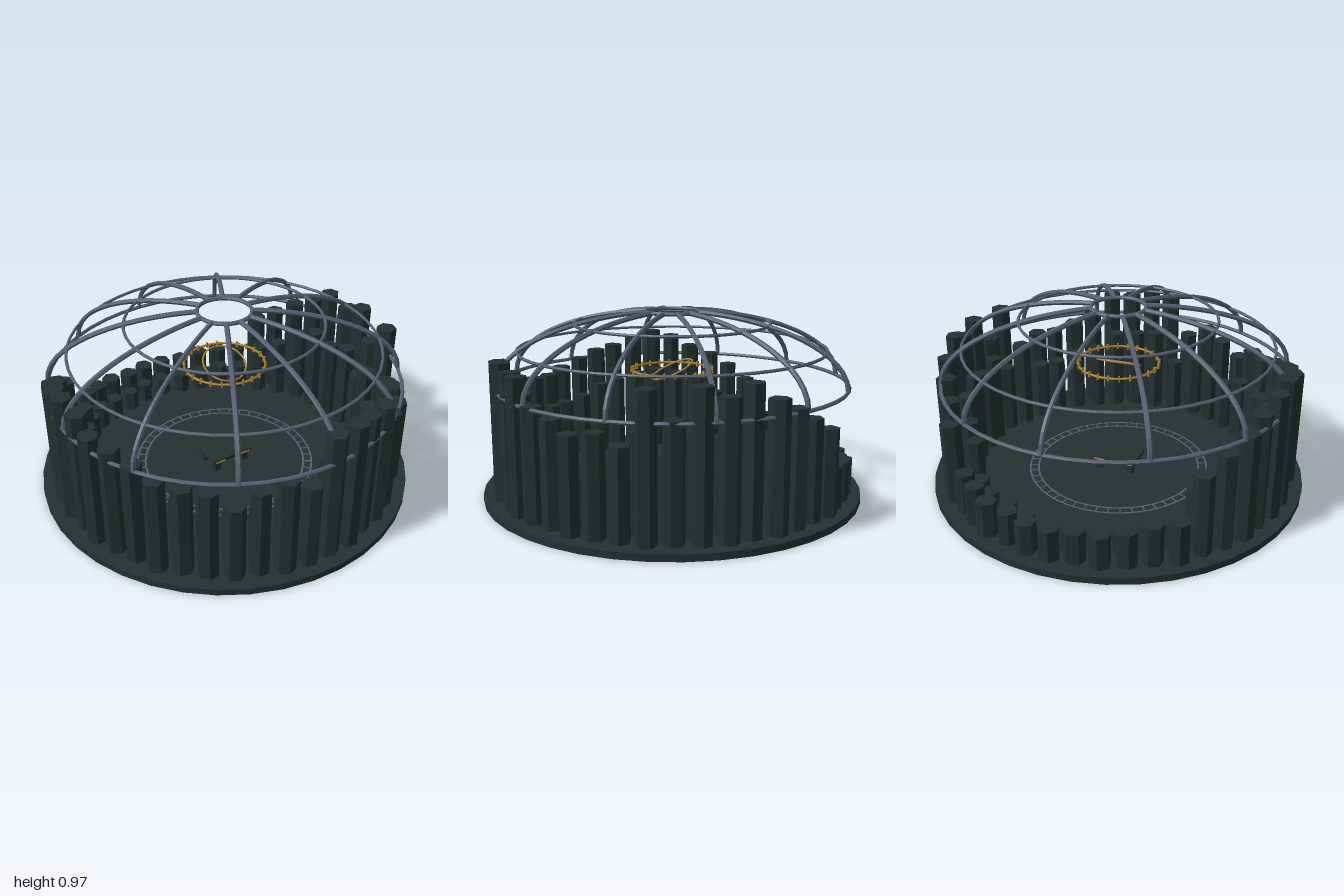
import * as THREE from 'three';

const mat = (name, color, extra = {}) => {
  const m = new THREE.MeshStandardMaterial({ color, ...extra });
  m.name = name;
  return m;
};

export function createModel() {
  const root = new THREE.Group();
  const basalt = mat('dark basalt', 0x243030, { flatShading: true });
  const steel = mat('blue grey steel', 0x566072, { flatShading: true });
  const brass = mat('brass', 0xb08232, { flatShading: true });

  const add = (name, geo, material, parent = root) => {
    const m = new THREE.Mesh(geo, material);
    m.name = name;
    parent.add(m);
    return m;
  };
  const group = (name) => {
    const g = new THREE.Group();
    g.name = name;
    root.add(g);
    return g;
  };
  const flatRing = (name, r, tube, y, material, parent, segs = 48) => {
    const m = add(name, new THREE.TorusGeometry(r, tube, 6, segs), material, parent);
    m.rotation.x = Math.PI / 2;
    m.position.y = y;
    return m;
  };

  // Round floor slab
  const FLOOR = 0.035;
  add('floorSlab', new THREE.CylinderGeometry(1, 1, FLOOR, 40), basalt).position.y = FLOOR / 2;

  // Hexagonal stone columns: tall wall with a low opening at the back
  const heights = [
    0.735, 0.745, 0.72, 0.72, 0.6, 0.56, 0.51, 0.53, 0.48, 0.74, 0.6, 0.75,
    0.7, 0.75, 0.67, 0.61, 0.54, 0.47, 0.25, 0.24, 0.22, 0.205, 0.2,
    0.2, 0.2, 0.205, 0.22, 0.24, 0.25, 0.46, 0.54, 0.6, 0.65, 0.71,
    0.74, 0.71, 0.66, 0.64, 0.6, 0.56, 0.53, 0.53, 0.455, 0.52, 0.565, 0.5,
  ];
  const N = heights.length;
  const wall = group('columnWall');
  const column = (name, angle, r, radius, top) => {
    const h = top - FLOOR;
    const m = add(name, new THREE.CylinderGeometry(radius, radius, h, 6), basalt, wall);
    m.position.set(Math.sin(angle) * r, FLOOR + h / 2, Math.cos(angle) * r);
    m.rotation.y = angle * 3.1;
  };
  heights.forEach((h, i) => {
    const a = (i / N) * Math.PI * 2 + 0.008;
    column('outerColumn', a, 0.892 + 0.012 * Math.sin(i * 2.3), 0.053, h);
  });
  const INNER = 40;
  for (let i = 0; i < INNER; i++) {
    const f = (i + 0.5) / INNER;
    const h = heights[Math.round(f * N) % N];
    column('innerColumn', f * Math.PI * 2, 0.79 + 0.012 * Math.sin(i * 1.7), 0.048, h * 0.7);
  }

  // Dome frame: twelve curved ribs and four hoops on an elliptical profile
  const dome = group('domeFrame');
  const R = 0.92, BASE = 0.59, RISE = 0.375;
  const profileY = (r) => BASE + RISE * Math.sqrt(1 - (r / R) ** 2);
  const tEnd = Math.acos(0.14 / R);
  const ribPoints = [];
  for (let i = 0; i <= 14; i++) {
    const t = (i / 14) * tEnd;
    ribPoints.push(new THREE.Vector3(0, BASE + RISE * Math.sin(t), R * Math.cos(t)));
  }
  const ribGeo = new THREE.TubeGeometry(new THREE.CatmullRomCurve3(ribPoints), 18, 0.013, 6);
  for (let i = 0; i < 12; i++) {
    add('domeRib', ribGeo, steel, dome).rotation.y = (i / 12) * Math.PI * 2;
  }
  for (const [r, tube] of [[R, 0.01], [0.805, 0.008], [0.51, 0.008], [0.14, 0.011]]) {
    flatRing('domeHoop', r, tube, r === R ? BASE : profileY(r), steel, dome);
  }

  // Inlaid floor track with radial ties
  const track = group('floorTrack');
  for (const r of [0.44, 0.485]) {
    const inlay = add('trackRing', new THREE.RingGeometry(r - 0.005, r + 0.005, 64), steel, track);
    inlay.rotation.x = -Math.PI / 2;
    inlay.position.y = FLOOR + 0.004;
  }
  for (let i = 0; i < 48; i++) {
    const a = (i / 48) * Math.PI * 2;
    const tie = add('trackTie', new THREE.BoxGeometry(0.006, 0.005, 0.045), steel, track);
    tie.position.set(Math.sin(a) * 0.4625, FLOOR + 0.0025, Math.cos(a) * 0.4625);
    tie.rotation.y = a;
  }

  // Floating brass rings with small teeth
  const rings = group('floatingRings');
  rings.position.y = 0.655;
  flatRing('mainRing', 0.212, 0.006, 0, brass, rings);
  for (let i = 0; i < 24; i++) {
    const a = ((i + 0.5) / 24) * Math.PI * 2;
    const tooth = add('ringTooth', new THREE.BoxGeometry(0.008, 0.03, 0.014), brass, rings);
    tooth.position.set(Math.sin(a) * 0.212, 0, Math.cos(a) * 0.212);
    tooth.rotation.y = a;
  }
  flatRing('tiltedRing', 0.115, 0.005, 0, brass, rings).rotation.x += 0.42;

  // Low central table with brass trim
  const table = group('centralTable');
  table.position.y = FLOOR;
  add('tableTop', new THREE.BoxGeometry(0.24, 0.02, 0.165), basalt, table).position.y = 0.065;
  for (const x of [-1, 1]) {
    for (const z of [-1, 1]) {
      add('tableLeg', new THREE.BoxGeometry(0.035, 0.055, 0.035), basalt, table)
        .position.set(x * 0.09, 0.0275, z * 0.055);
      add('tableTrim', new THREE.BoxGeometry(0.06, 0.008, 0.006), brass, table)
        .position.set(x * 0.08, 0.062, z * 0.0845);
    }
  }
  return root;
}
